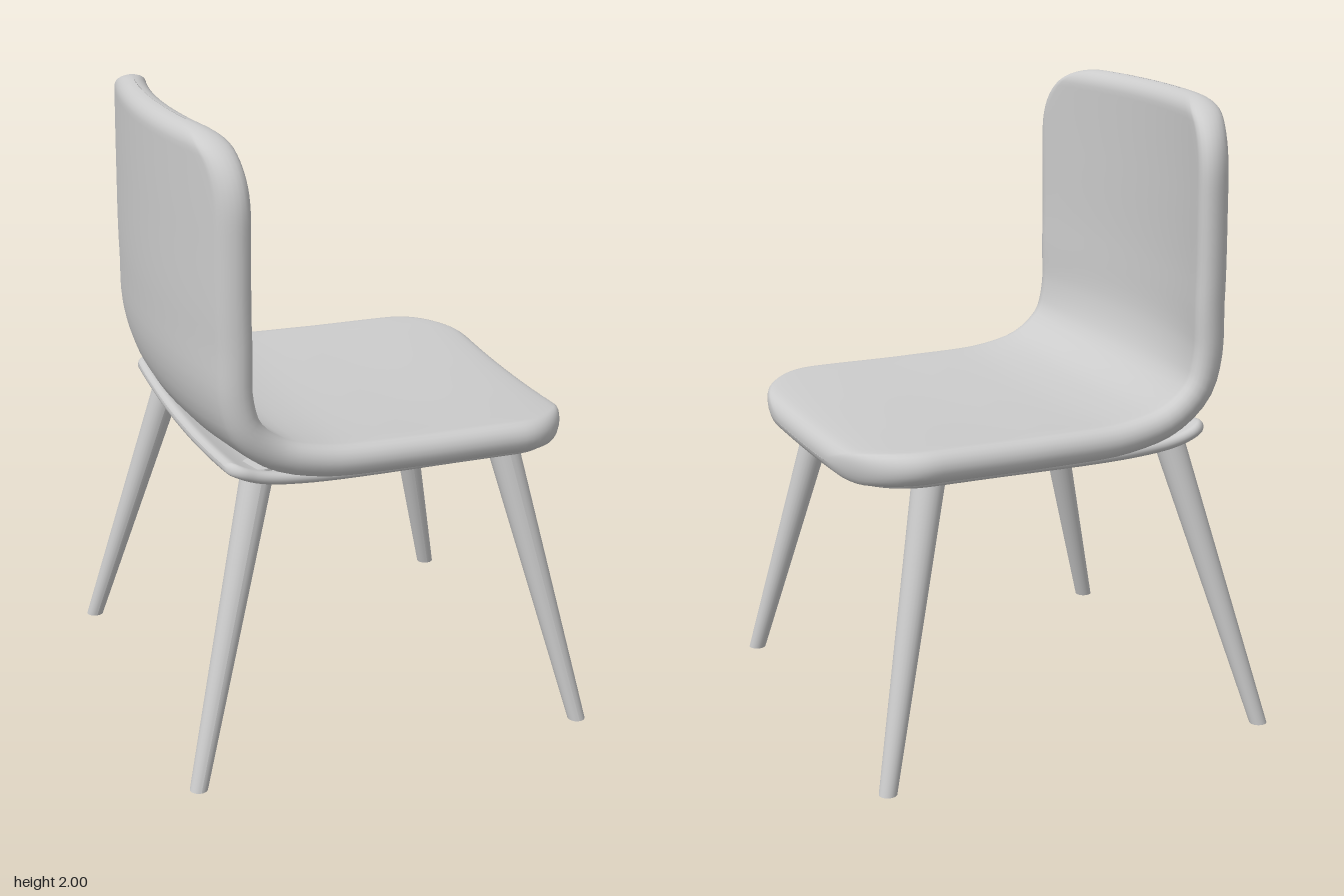
import * as THREE from 'three';

const MAT = new THREE.MeshStandardMaterial({ color: 0xcccccc, side: THREE.DoubleSide });

// Half-width reduction near an end: superelliptic corner of size (rs along, rz across)
function corner(d, rs, rz, n) {
  if (d >= rs) return 0;
  const k = 1 - d / rs;
  return rz * (1 - Math.pow(1 - Math.pow(k, n), 1 / n));
}

// Curved slab swept along a side profile: rounded edges and corners, bowed across its width
function sweptSlab({ profile, width, half, bow, startCorner, endCorner, rows = 72 }) {
  const curve = new THREE.CatmullRomCurve3(profile.map(([x, y]) => new THREE.Vector3(x, y, 0)), false, 'centripetal');
  curve.arcLengthDivisions = 600;
  const length = curve.getLength();
  const ARC = 10, FLAT = 18;
  const pos = [], index = [];
  let ring = 0;
  for (let i = 0; i <= rows; i++) {
    const f = (1 - Math.cos(Math.PI * i / rows)) / 2;
    const p = curve.getPointAt(f), t = curve.getTangentAt(f);
    const d0 = f * length, d1 = (1 - f) * length;
    const w = width(f) - corner(d0, ...startCorner) - corner(d1, ...endCorner);
    const k = 1 - Math.min(1, Math.min(d0, d1) / half);
    const h = Math.max(0.0005, half * Math.sqrt(1 - k * k));
    // pill-shaped cross-section: [across, along normal]
    const section = [];
    for (const side of [1, -1]) {
      for (let j = 0; j <= ARC; j++) {
        const a = -Math.PI / 2 + Math.PI * j / ARC;
        section.push([side * (w - half + half * Math.cos(a)), side * h * Math.sin(a)]);
      }
      for (let j = 1; j < FLAT; j++) section.push([side * (w - half) * (1 - 2 * j / FLAT), side * h]);
    }
    ring = section.length;
    for (const [z, n] of section) {
      const o = n + bow(f) * (z / width(f)) ** 2;
      pos.push(p.x + t.y * o, p.y - t.x * o, z);
    }
  }
  for (let i = 0; i < rows; i++) {
    for (let j = 0; j < ring; j++) {
      const a = i * ring + j, b = i * ring + (j + 1) % ring;
      index.push(a, b, a + ring, b, b + ring, a + ring);
    }
  }
  const g = new THREE.BufferGeometry();
  g.setAttribute('position', new THREE.Float32BufferAttribute(pos, 3));
  g.setIndex(index);
  g.computeVertexNormals();
  return g;
}

// Tapered leg, splayed by shearing so that both ends stay horizontal
function legGeometry(foot, top) {
  const h = top.y;
  const g = new THREE.CylinderGeometry(0.052, 0.028, h, 24, 1);
  g.translate(0, h / 2, 0);
  const p = g.attributes.position;
  for (let i = 0; i < p.count; i++) {
    const k = p.getY(i) / h;
    p.setX(i, p.getX(i) + THREE.MathUtils.lerp(foot.x, top.x, k));
    p.setZ(i, p.getZ(i) + THREE.MathUtils.lerp(foot.z, top.z, k));
  }
  g.computeVertexNormals();
  return g;
}

export function createModel() {
  const chair = new THREE.Group();
  chair.name = 'chair';
  const add = (name, geometry) => {
    const mesh = new THREE.Mesh(geometry, MAT);
    mesh.name = name;
    chair.add(mesh);
  };

  // One-piece upholstered seat and backrest
  add('seatShell', sweptSlab({
    profile: [[0.672, 0.93], [0.6, 0.943], [0.45, 0.95], [0.1, 0.952], [-0.2, 0.963], [-0.37, 1.0],
      [-0.485, 1.085], [-0.538, 1.21], [-0.552, 1.4], [-0.552, 1.7], [-0.548, 2.0]],
    width: f => THREE.MathUtils.lerp(0.578, 0.588, f),
    half: 0.052,
    bow: f => THREE.MathUtils.lerp(0.025, 0.09, THREE.MathUtils.smoothstep(f, 0.38, 0.72)),
    startCorner: [0.23, 0.35, 2.1],
    endCorner: [0.26, 0.3, 2.6],
  }));

  // Thin support pan under the seat
  add('underPan', sweptSlab({
    profile: [[0.63, 0.9], [0.3, 0.9], [-0.25, 0.905], [-0.4, 0.925], [-0.5, 0.965]],
    width: () => 0.535,
    half: 0.02,
    bow: () => 0.028,
    startCorner: [0.18, 0.28, 2.1],
    endCorner: [0.06, 0.06, 2],
    rows: 48,
  }));

  // Four splayed legs
  for (const s of [1, -1]) {
    const side = s > 0 ? 'A' : 'B';
    add('frontLeg' + side, legGeometry({ x: 0.64, z: s * 0.637 }, { x: 0.425, y: 0.93, z: s * 0.46 }));
    add('backLeg' + side, legGeometry({ x: -0.64, z: s * 0.637 }, { x: -0.375, y: 0.97, z: s * 0.455 }));
  }

  // The chair is turned very slightly
  chair.rotation.y = -0.033;
  const model = new THREE.Group();
  model.name = 'model';
  model.add(chair);
  return model;
}
